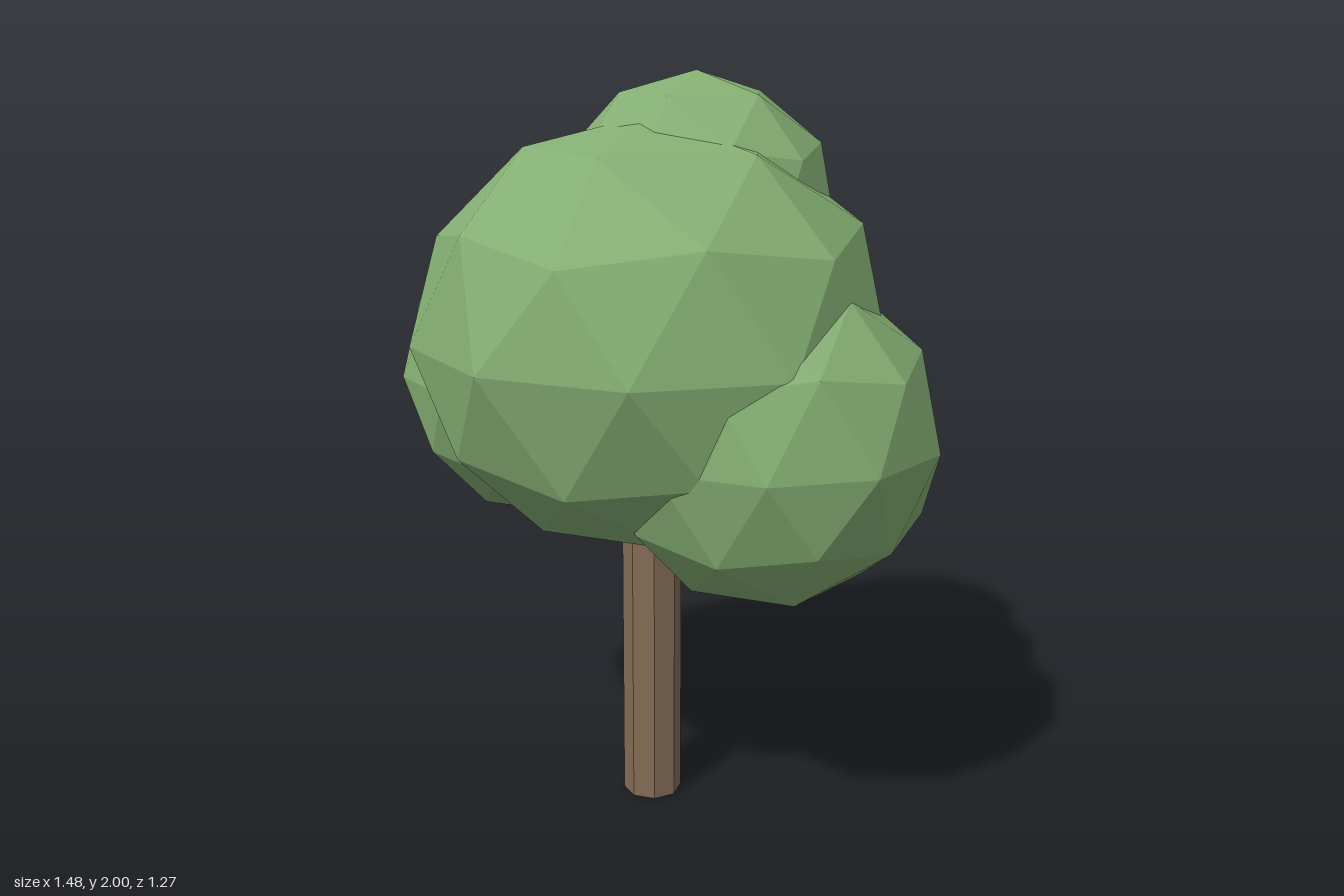
import * as THREE from 'three';

export function createModel() {
  const tree = new THREE.Group();
  tree.name = 'tree';

  const leafGreen = new THREE.MeshStandardMaterial({ color: 0x84ae73, flatShading: true });
  leafGreen.name = 'leafGreen';
  const barkBrown = new THREE.MeshStandardMaterial({ color: 0x856c56, flatShading: true });
  barkBrown.name = 'barkBrown';

  // Octagonal trunk, its top buried in the crown
  const trunkHeight = 1.1;
  const trunk = new THREE.Mesh(new THREE.CylinderGeometry(0.081, 0.081, trunkHeight, 8), barkBrown);
  trunk.name = 'trunk';
  trunk.position.set(-0.033, trunkHeight / 2, 0);
  tree.add(trunk);

  // Faceted ball turned so that a corner points straight up
  const ball = new THREE.IcosahedronGeometry(1, 1);
  ball.rotateZ(-Math.atan(2 / (1 + Math.sqrt(5))));

  // Leaf clumps: name, centre, horizontal radius, vertical radius
  const clumps = [
    ['mainCrown', [-0.03, 1.325, 0], 0.636, 0.572],
    ['topClump', [-0.03, 1.614, -0.176], 0.386, 0.386],
    ['rightClump', [-0.349, 1.196, 0.05], 0.414, 0.414],
    ['leftClump', [0.317, 1.1, -0.055], 0.444, 0.444],
  ];
  for (const [name, centre, radius, height] of clumps) {
    const clump = new THREE.Mesh(ball, leafGreen);
    clump.name = name;
    clump.position.set(...centre);
    clump.scale.set(radius, height, radius);
    tree.add(clump);
  }

  return tree;
}
